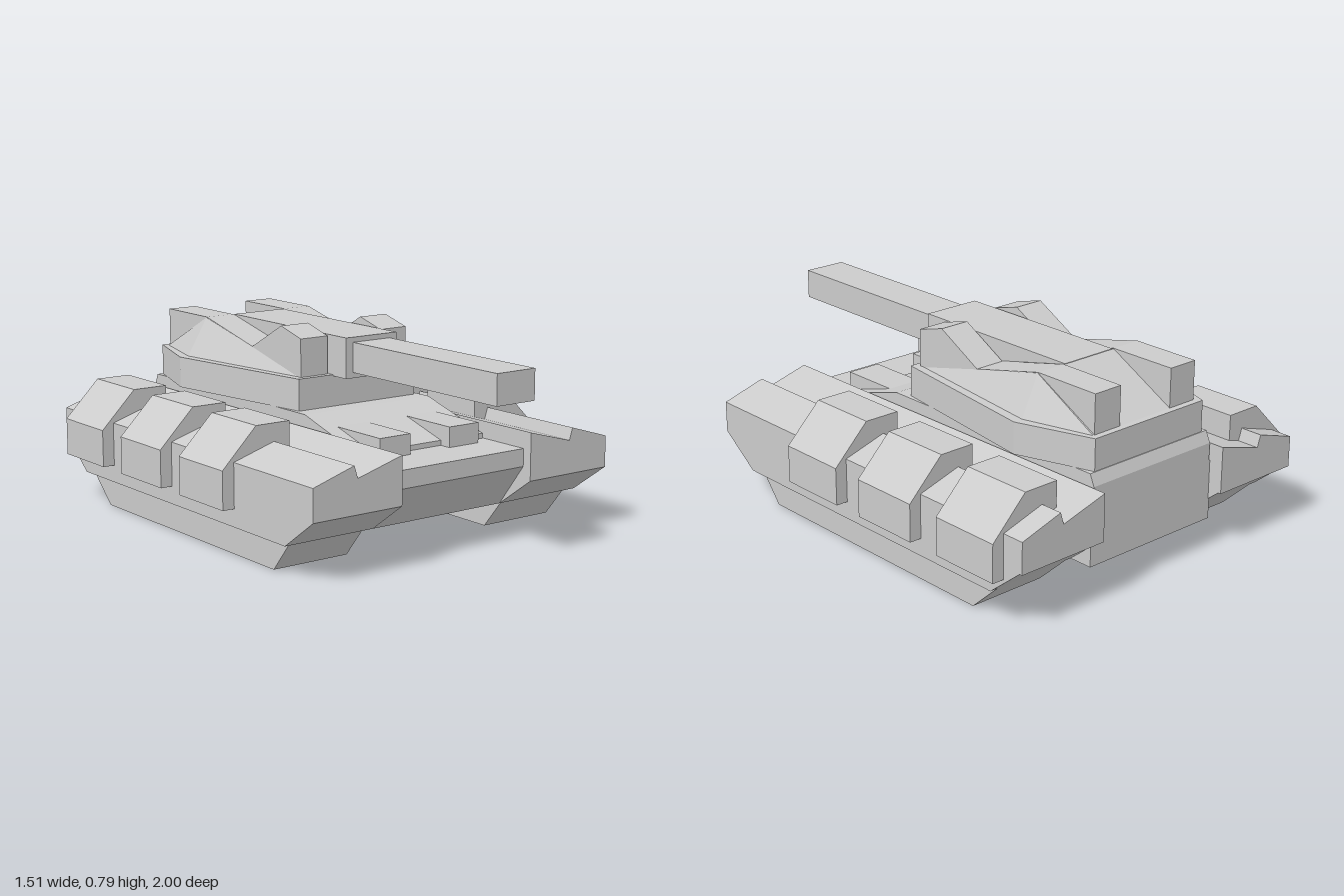
import * as THREE from 'three';
import { ConvexGeometry } from 'three/addons/geometries/ConvexGeometry.js';

const material = new THREE.MeshStandardMaterial({ color: 0xcccccc, flatShading: true });

const toShape = (points) => new THREE.Shape(points.map(([a, b]) => new THREE.Vector2(a, b)));

const extrude = (points, depth) =>
  new THREE.ExtrudeGeometry(toShape(points), { depth, bevelEnabled: false });

// Side profile given as [z, y], running from x0 to x1
const acrossX = (points, x0, x1) =>
  extrude(points, x1 - x0).rotateY(-Math.PI / 2).translate(x1, 0, 0);

// Front section given as [x, y], running from z0 to z1
const alongZ = (points, z0, z1) => extrude(points, z1 - z0).translate(0, 0, z0);

// Plan outline given as [x, z], rising from y0 to y1
const upY = (points, y0, y1) =>
  extrude(points.map(([x, z]) => [x, -z]), y1 - y0).rotateX(-Math.PI / 2).translate(0, y0, 0);

const block = (x0, x1, y0, y1, z0, z1) =>
  new THREE.BoxGeometry(x1 - x0, y1 - y0, z1 - z0)
    .translate((x0 + x1) / 2, (y0 + y1) / 2, (z0 + z1) / 2);

export function createModel() {
  const model = new THREE.Group();
  model.name = 'tank';

  const add = (name, geometry, parent = model) => {
    const mesh = new THREE.Mesh(geometry, material);
    mesh.name = name;
    parent.add(mesh);
  };

  // Hull between the tracks, with a raised deck that slopes down to the front
  add('hull', acrossX([
    [0.58, 0.12], [0.71, 0.29], [0.71, 0.36], [-0.94, 0.36], [-0.94, 0.12],
  ], -0.315, 0.315));
  add('deck', acrossX([
    [0.48, 0.36], [0.48, 0.38], [0.15, 0.475], [-0.92, 0.475], [-0.94, 0.43], [-0.94, 0.36],
  ], -0.305, 0.305));

  for (const side of [1, -1]) {
    const label = side > 0 ? 'left' : 'right';
    const flip = (points) => points.map(([x, y]) => [side * x, y]);
    const span = (a, b) => (side > 0 ? [a, b] : [-b, -a]);

    // Track pod: grooved fender, tapered underside and track below
    add(`${label}Fender`, alongZ(flip([
      [0.31, 0.24], [0.705, 0.24], [0.705, 0.365], [0.525, 0.42], [0.51, 0.372], [0.31, 0.428],
    ]), -1, 0.75));
    add(`${label}FenderUnderside`, acrossX([
      [0.75, 0.24], [-1, 0.25], [-0.84, 0.12], [0.58, 0.12],
    ], ...span(0.31, 0.705)));
    add(`${label}Track`, acrossX([
      [0.56, 0.12], [-0.84, 0.12], [-0.71, 0], [0.46, 0],
    ], ...span(0.34, 0.67)));

    // Three armour boxes hung over the fender
    for (const z of [0.26, -0.17, -0.61]) {
      add(`${label}ArmourBox`, alongZ(flip([
        [0.455, 0.3], [0.455, 0.49], [0.605, 0.49], [0.755, 0.34], [0.755, 0.19], [0.65, 0.19],
      ]), z - 0.297, z));
    }

    // Small hatch on the front slope
    add(`${label}DeckHatch`, block(...span(0.095, 0.24), 0.355, 0.44, 0.15, 0.53));
  }

  const turret = new THREE.Group();
  turret.name = 'turret';
  model.add(turret);

  // Six-sided turret base
  add('turretBase', upY([
    [0.285, 0.085], [0.385, -0.61], [0.28, -0.917],
    [-0.28, -0.917], [-0.385, -0.61], [-0.285, 0.085],
  ], 0.475, 0.6), turret);

  // Turret roof: ridge near the back, sloping to the front and rear
  const roof = [];
  for (const s of [1, -1]) {
    for (const [x, y, z] of [
      [0.255, 0.6, 0.06], [0.345, 0.6, -0.61], [0.265, 0.6, -0.89], [0.26, 0.753, -0.6],
    ]) roof.push(new THREE.Vector3(s * x, y, z));
  }
  add('turretRoof', new ConvexGeometry(roof), turret);

  // Cheek blocks with a raised front and a rear fin
  for (const [name, x0, x1] of [['leftCheek', 0.13, 0.258], ['rightCheek', -0.258, -0.13]]) {
    add(name, acrossX([
      [0.06, 0.6], [0.06, 0.75], [-0.07, 0.785], [-0.27, 0.677],
      [-0.6, 0.755], [-0.89, 0.755], [-0.89, 0.6],
    ], x0, x1), turret);
  }

  // Gun housing and barrel
  add('gunHousing', block(-0.123, 0.123, 0.595, 0.755, -0.6, 0.17), turret);
  add('gunBarrel', block(-0.09, 0.09, 0.617, 0.735, 0.1, 1), turret);

  return model;
}
